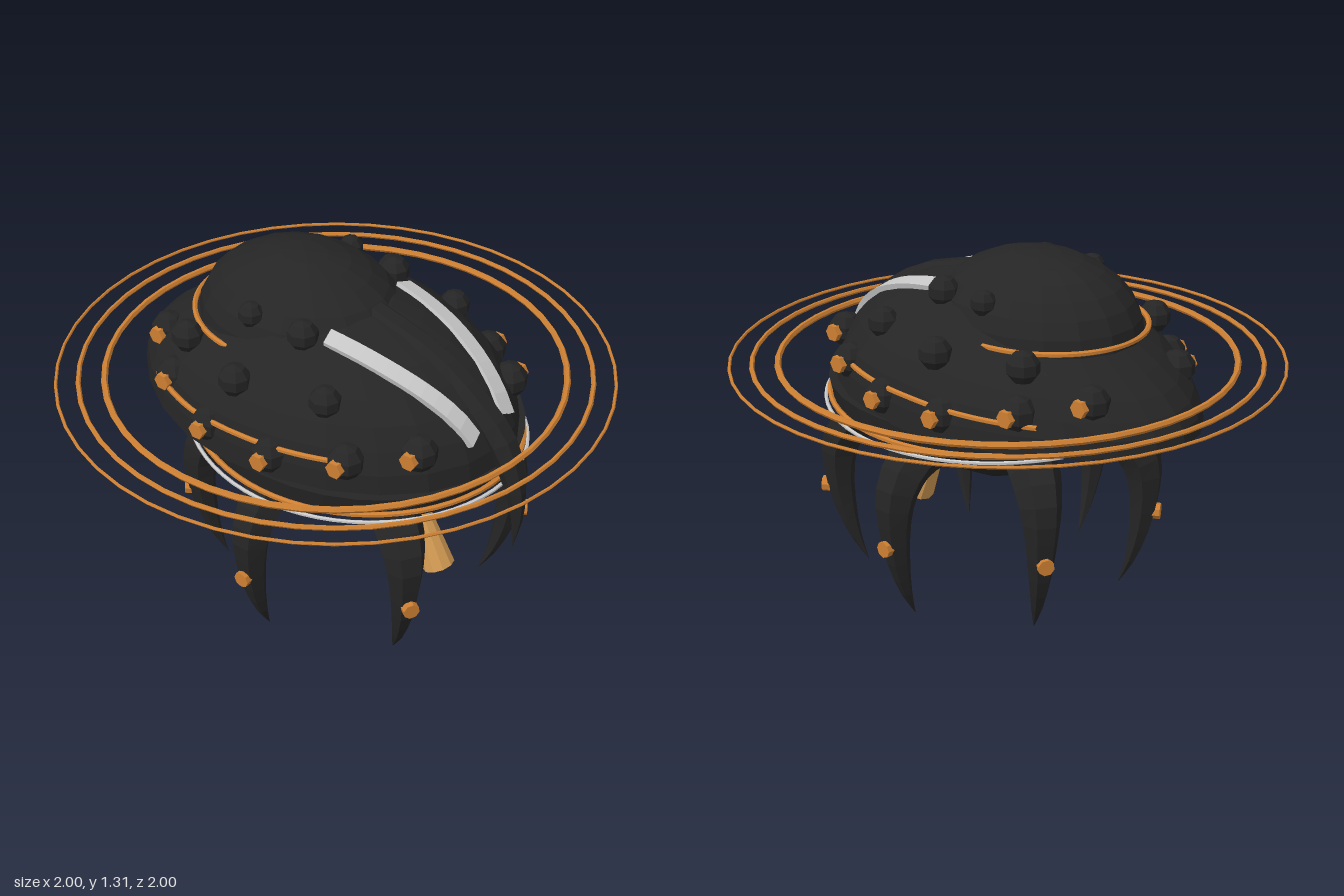
import * as THREE from 'three';

const mat = (name, color) => {
  const m = new THREE.MeshStandardMaterial({ color, flatShading: true, side: THREE.DoubleSide });
  m.name = name;
  return m;
};

export function createModel() {
  const root = new THREE.Group();
  root.name = 'hoverCrawler';
  const black = mat('charcoal', 0x252525);
  const bronze = mat('bronze', 0xcd7f32);
  const brass = mat('brass', 0xd69c54);
  const silver = mat('silver', 0xc8c8c8);
  const V = (x, y, z) => new THREE.Vector3(x, y, z);

  const add = (name, geo, material, pos = [0, 0, 0], parent = root) => {
    const m = new THREE.Mesh(geo, material);
    m.name = name;
    m.position.set(...pos);
    parent.add(m);
    return m;
  };

  // Tube along a list of points
  const tube = (pts, r, closed = false, seg = 48) =>
    new THREE.TubeGeometry(new THREE.CatmullRomCurve3(pts, closed), seg, r, 6, closed);

  // Points on a horizontal ellipse, with an optional wave in height
  const ellipse = (rx, rz, y, cz, a0, a1, n, wave = 0) =>
    Array.from({ length: n }, (_, i) => {
      const a = a0 + (a1 - a0) * i / (n - 1);
      return V(rx * Math.cos(a), y - wave * Math.cos(2 * a), cz + rz * Math.sin(a));
    });

  // Loft of polygon sections; each section is [centre, side half-width, depth half-width]
  const loft = (sections, side, sides = 6, phase = 0) => {
    const pos = [], idx = [];
    sections.forEach(([c, w, d], i) => {
      const t = sections[Math.min(i + 1, sections.length - 1)][0].clone()
        .sub(sections[Math.max(i - 1, 0)][0]).normalize();
      const n = side.clone().cross(t).normalize();
      for (let j = 0; j < sides; j++) {
        const a = (j + phase) / sides * Math.PI * 2;
        const p = c.clone().addScaledVector(side, w * Math.cos(a)).addScaledVector(n, d * Math.sin(a));
        pos.push(p.x, p.y, p.z);
        if (i) {
          const k = (j + 1) % sides, A = (i - 1) * sides, B = i * sides;
          idx.push(A + j, A + k, B + j, A + k, B + k, B + j);
        }
      }
    });
    const g = new THREE.BufferGeometry();
    g.setAttribute('position', new THREE.Float32BufferAttribute(pos, 3));
    g.setIndex(idx);
    g.computeVertexNormals();
    return g;
  };

  // Samples a smooth curve of [radius, height, width, depth] rows
  const smoothRows = (rows, n) => {
    const a = new THREE.CatmullRomCurve3(rows.map(r => V(r[0], r[1], 0)));
    const b = new THREE.CatmullRomCurve3(rows.map(r => V(r[2], r[3], 0)));
    return Array.from({ length: n + 1 }, (_, i) => [a.getPoint(i / n), b.getPoint(i / n)]);
  };

  // Carapace: half ellipsoid, lower and narrower towards the rear, with a flat underside
  const shellPoint = (u, v, w) => {
    const b = Math.min(w, 0);
    return V(0.55 * u * (1 - 0.2 * b * b), 0.78 + 0.45 * v * (1 + 0.35 * b), -0.05 + 0.76 * w);
  };
  const toShell = geo => {
    const p = geo.attributes.position;
    for (let i = 0; i < p.count; i++) {
      const q = shellPoint(p.getX(i), p.getY(i), p.getZ(i));
      p.setXYZ(i, q.x, q.y, q.z);
    }
    geo.computeVertexNormals();
    return geo;
  };
  add('carapace', toShell(new THREE.SphereGeometry(1, 24, 9, 0, Math.PI * 2, 0, Math.PI / 2)), black);
  add('carapaceUnderside', toShell(new THREE.CircleGeometry(1, 24).rotateX(Math.PI / 2)), black);

  // Upper dome with its trim
  const dome = new THREE.SphereGeometry(1, 18, 7, 0, Math.PI * 2, 0, Math.PI / 2);
  dome.scale(0.335, 0.27, 0.405);
  add('upperDome', dome, black, [0, 1.055, -0.14]);
  add('domeTrim', tube(ellipse(0.348, 0.38, 1.078, -0.17, Math.PI, Math.PI * 2, 24), 0.01), bronze);

  // Lower skirt and its two rims
  const skirt = new THREE.CylinderGeometry(1, 0.97, 0.085, 32);
  skirt.scale(0.545, 1, 0.625);
  add('skirt', skirt, black, [0, 0.745, 0.095]);
  const rim = (rx, rz, y) => ellipse(rx, rz, y, 0.095, 0, Math.PI * 2, 41, 0.013).slice(0, 40);
  add('bronzeRim', tube(rim(0.542, 0.622, 0.728), 0.01, true, 64), bronze);
  add('silverRim', tube(rim(0.56, 0.635, 0.708), 0.007, true, 64), silver);

  // Three floating rings
  [[0.822, 0.012], [0.914, 0.009], [0.993, 0.006]].forEach(([r, t], i) => {
    add('floatingRing' + (i + 1), new THREE.TorusGeometry(r, t, 6, 48), bronze, [0, 0.9, 0]).rotation.x = Math.PI / 2;
  });

  // Belly, front lens in its housing, and nozzle
  const belly = new THREE.SphereGeometry(1, 12, 8);
  belly.scale(0.25, 0.2, 0.25);
  add('belly', belly, black, [0, 0.63, 0.05]);
  add('lensHousing', new THREE.CylinderGeometry(0.115, 0.125, 0.11, 16), black, [0, 0.625, 0.265]).rotation.x = Math.PI / 2;
  add('lens', new THREE.CylinderGeometry(0.1, 0.1, 0.008, 16), bronze, [0, 0.625, 0.323]).rotation.x = Math.PI / 2;
  add('lensRing', new THREE.TorusGeometry(0.124, 0.008, 6, 24), bronze, [0, 0.635, 0.3]);
  const top = V(0, 0.53, 0.335), end = V(0, 0.215, 0.475);
  const nozzle = add('nozzle', new THREE.CylinderGeometry(0.03, 0.06, top.distanceTo(end), 10), brass,
    top.clone().add(end).multiplyScalar(0.5).toArray());
  nozzle.quaternion.setFromUnitVectors(V(0, 1, 0), top.clone().sub(end).normalize());

  // Front horn running down from the crest
  const horn = smoothRows([
    [0.17, 1.205, 0.05, 0.02], [0.42, 1.125, 0.05, 0.03], [0.6, 1.0, 0.052, 0.045], [0.71, 0.88, 0.052, 0.055],
    [0.767, 0.74, 0.036, 0.045], [0.79, 0.6, 0.018, 0.024], [0.78, 0.46, 0.001, 0.001]], 14)
    .map(([c, s]) => [V(0, c.y, c.x), s.x, s.y]);
  add('frontHorn', loft(horn, V(1, 0, 0)), black);

  // Six clawed legs
  const legRows = smoothRows([
    [0.16, 0.62, 0.085, 0.075], [0.32, 0.645, 0.095, 0.08], [0.455, 0.615, 0.092, 0.085], [0.525, 0.52, 0.077, 0.078],
    [0.54, 0.4, 0.06, 0.06], [0.525, 0.25, 0.042, 0.042], [0.49, 0.11, 0.022, 0.02], [0.45, 0.015, 0.001, 0.001]], 14);
  const legs = [['front', 0.536, 0.844, 1.14], ['middle', 1, 0, 1], ['rear', 0.52, -0.854, 1]];
  for (const s of [1, -1]) {
    const tag = s > 0 ? 'Left' : 'Right';
    for (const [name, dx, dz, k] of legs) {
      const out = V(dx * s, 0, dz).normalize(), side = V(out.z, 0, -out.x);
      const at = (r, y) => out.clone().multiplyScalar(r * k).add(V(0, y, 0.04));
      const leg = new THREE.Group();
      leg.name = name + 'Leg' + tag;
      root.add(leg);
      add('claw', loft(legRows.map(([c, w]) => [at(c.x, c.y), w.x, w.y]), side), black, [0, 0, 0], leg);
      const bolt = add('legBolt', new THREE.CylinderGeometry(0.03, 0.03, 0.036, 8), bronze, at(0.582, 0.32).toArray(), leg);
      bolt.quaternion.setFromUnitVectors(V(0, 1, 0), out);
    }

    // Lower row of studs, each with a hexagonal cap on its outer side: cap x, y, z
    for (const [x, y, z] of [
      [0.33, 0.93, 0.56], [0.482, 0.9, 0.37], [0.567, 0.86, 0.11],
      [0.56, 0.865, -0.165], [0.455, 0.905, -0.415], [0.287, 0.94, -0.59]]) {
      add('lowerStud' + tag, new THREE.SphereGeometry(0.066, 8, 5), black, [(x - 0.06) * s, y, z]);
      add('studCap' + tag, new THREE.CylinderGeometry(0.032, 0.032, 0.026, 6), bronze, [x * s, y, z])
        .rotation.z = Math.PI / 2;
    }

    // Upper studs
    for (const [x, y, z, r] of [
      [0.375, 1.06, 0.245, 0.058], [0.45, 1.05, -0.085, 0.06], [0.345, 1.05, -0.39, 0.06],
      [0.26, 1.19, 0.06, 0.057], [0.28, 1.2, -0.15, 0.047]])
      add('upperStud' + tag, new THREE.SphereGeometry(r, 8, 5), black, [x * s, y, z]);

    // Thin conduit linking the lower studs
    const conduit = Array.from({ length: 16 }, (_, i) => {
      const a = -0.65 + 1.3 * i / 15;
      return shellPoint(0.967 * s * Math.cos(a), 0.267, 0.967 * Math.sin(a));
    });
    add('conduit' + tag, tube(conduit, 0.01, false, 24), bronze);

    // Silver stripe laid along the carapace
    const stripe = Array.from({ length: 13 }, (_, i) => {
      const t = i / 12, z = 0.13 + 0.53 * t;
      const x = 0.215 - 0.12 * t + 0.02 * Math.sin(Math.PI * t);
      const u = x / 0.55, w = (z + 0.05) / 0.76;
      const p = shellPoint(u * s, Math.sqrt(1 - u * u - w * w), w);
      return [p.add(V(0, 0.002, 0)), 0.045, 0.017];
    });
    add('stripe' + tag, loft(stripe, V(0.93, -0.3 * s, 0.2 * s).normalize(), 4, 0.5), silver);
  }
  return root;
}
